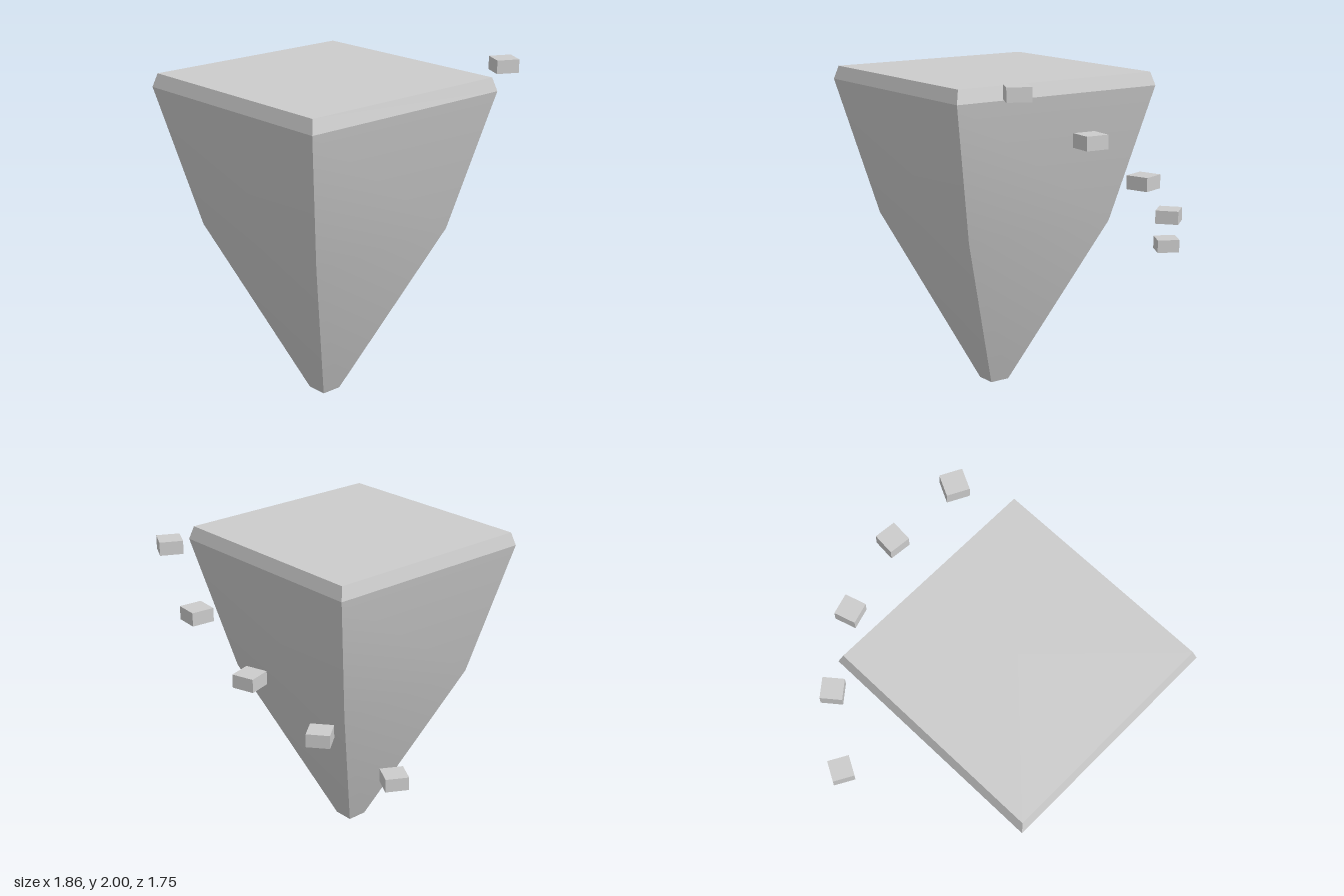
import * as THREE from 'three';
import { toCreasedNormals } from 'three/addons/utils/BufferGeometryUtils.js';

export function createModel() {
  const model = new THREE.Group();
  model.name = 'taperedBlockWithSteps';
  const material = new THREE.MeshStandardMaterial({ color: 0xcccccc });
  const centre = new THREE.Vector3(-0.234, 0, 0.175);

  // Square tapering body: [half width, height] sections, closed at both ends
  const sections = [[0, 0], [0.064, 0], [0.507, 1.05], [0.697, 1.88], [0.674, 1.96], [0, 1.96]];
  const profile = sections.map(([half, y]) => new THREE.Vector2(half * Math.SQRT2, y));
  const bodyGeometry = new THREE.LatheGeometry(profile, 4).rotateY(Math.PI / 4);
  const body = new THREE.Mesh(toCreasedNormals(bodyGeometry, 0.35), material);
  body.name = 'taperedBody';
  body.position.copy(centre);
  model.add(body);

  // Floating steps spiralling down around the body
  const stepGeometry = new THREE.BoxGeometry(0.137, 0.08, 0.137);
  for (let i = 0; i < 5; i++) {
    const angle = THREE.MathUtils.degToRad(27 - 22 * i);
    const step = new THREE.Mesh(stepGeometry, material);
    step.name = `floatingStep${i + 1}`;
    step.position.set(
      centre.x + 1.094 * Math.cos(angle),
      1.96 - 0.28 * i,
      centre.z + 1.094 * Math.sin(angle)
    );
    step.rotation.y = -angle;
    model.add(step);
  }
  return model;
}
